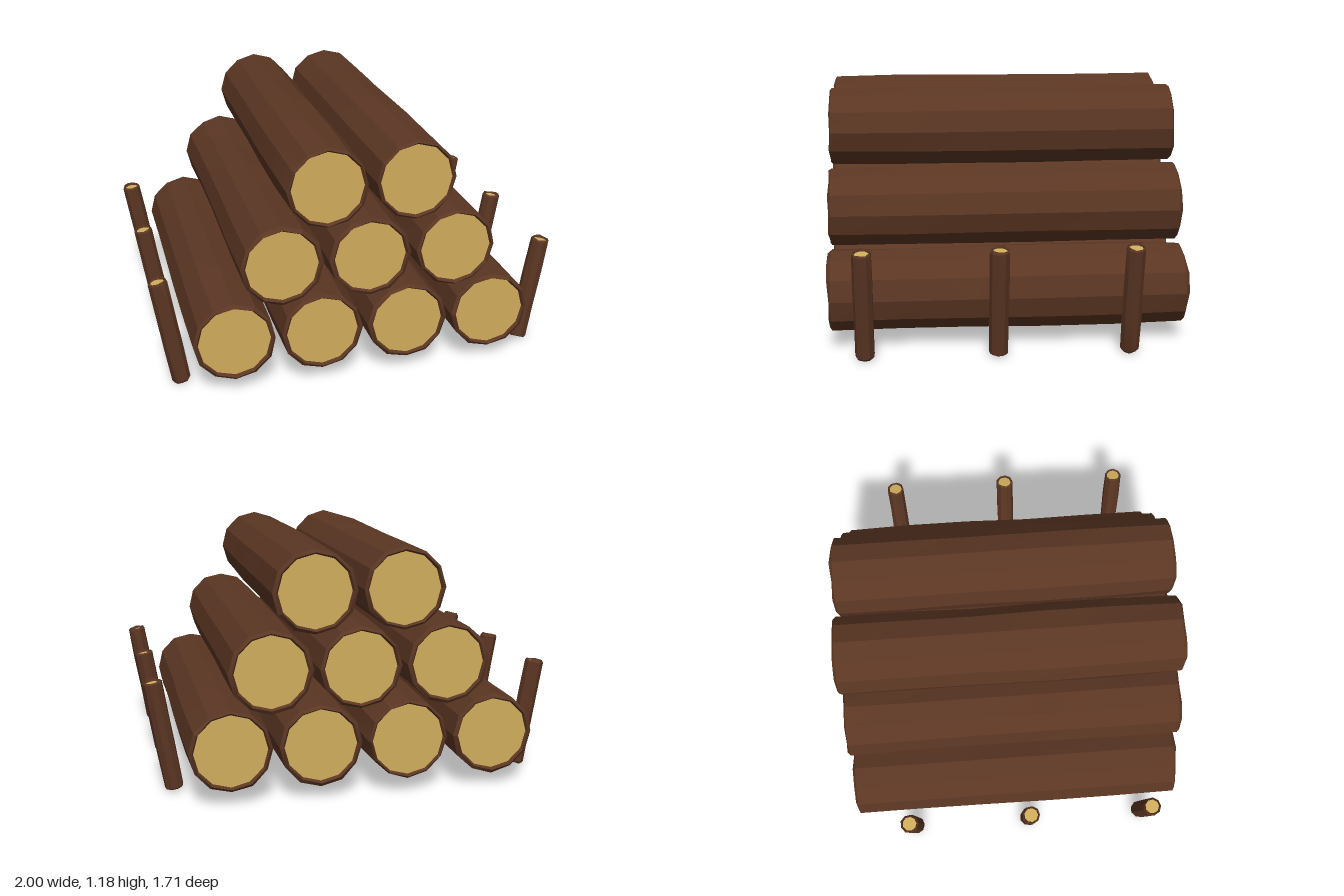
import * as THREE from 'three';
import { toCreasedNormals } from 'three/addons/utils/BufferGeometryUtils.js';

const bark = new THREE.MeshStandardMaterial({ color: 0x5b3623 });
bark.name = 'bark';
const cutWood = new THREE.MeshStandardMaterial({ color: 0xd0ad5c });
cutWood.name = 'cutWood';

// Repeatable noise in -1..1
function noise(a, b, c) {
  const s = Math.sin(a * 12.99 + b * 78.23 + c * 37.72) * 43758.55;
  return (s - Math.floor(s)) * 2 - 1;
}

// Uneven bark tube along y, with a raised rim around each recessed end
function barkGeometry({ radius, inner, length, recess, sides, rings, rough, seed }) {
  const h = length / 2;
  const profile = [[inner, -h + recess], [inner + (radius - inner) * 0.35, -h], [radius * 0.985, -h + recess * 0.8]];
  for (let i = 1; i < rings; i++) profile.push([radius, -h + (length * i) / rings]);
  profile.push([radius * 0.985, h - recess * 0.8], [inner + (radius - inner) * 0.35, h], [inner, h - recess]);
  const geo = new THREE.LatheGeometry(profile.map(([r, y]) => new THREE.Vector2(r, y)), sides);
  const pos = geo.attributes.position;
  const n = profile.length;
  for (let i = 0; i < pos.count; i++) {
    const ring = i % n;
    const side = Math.floor(i / n) % sides;
    if (ring === 0 || ring === n - 1) continue;
    const rim = ring === 1 || ring === n - 2;
    // whole-ring swelling plus a little per-corner wobble
    const k = rim ? 1 : 1 + rough * (0.6 * noise(seed, ring, 50) + 0.5 * noise(seed, ring, side));
    const dy = rim ? recess * 0.4 * noise(seed + 9, ring, side) : 0;
    pos.setXYZ(i, pos.getX(i) * k, pos.getY(i) + dy, pos.getZ(i) * k);
  }
  return toCreasedNormals(geo, 0.42);
}

// Flat round end, facing up (dir 1) or down (dir -1)
function endCap(o, dir, material, name) {
  const geo = new THREE.CircleGeometry(o.inner + 0.001, o.sides);
  geo.rotateX(-dir * Math.PI / 2);
  geo.translate(0, dir * (o.length / 2 - o.recess), 0);
  const mesh = new THREE.Mesh(geo, material);
  mesh.name = name;
  return mesh;
}

function timber(name, o, bottomMaterial) {
  const group = new THREE.Group();
  group.name = name;
  const tube = new THREE.Mesh(barkGeometry(o), bark);
  tube.name = 'barkTube';
  group.add(tube, endCap(o, 1, cutWood, 'endA'), endCap(o, -1, bottomMaterial, 'endB'));
  return group;
}

export function createModel() {
  const model = new THREE.Group();
  model.name = 'logPile';

  // Three stacked rows of logs lying along z
  const rows = [
    { y: 0.265, xs: [-0.63, -0.21, 0.21, 0.63] },
    { y: 0.625, xs: [-0.4, 0.02, 0.44] },
    { y: 0.985, xs: [-0.185, 0.235] },
  ];
  let seed = 1;
  for (const { y, xs } of rows) {
    for (const x of xs) {
      const log = timber('log', {
        radius: 0.197, inner: 0.172, length: 1.7, recess: 0.015,
        sides: 12, rings: 5, rough: 0.035, seed: seed++,
      }, cutWood);
      log.rotation.x = Math.PI / 2;
      log.position.set(x, y, -0.005);
      model.add(log);
    }
  }

  // Leaning stakes, three on each side
  for (const side of [1, -1]) {
    for (const z of [-0.565, 0.055, 0.675]) {
      const stake = timber('stake', {
        radius: 0.046, inner: 0.035, length: 0.54, recess: 0.012,
        sides: 9, rings: 3, rough: 0.04, seed: seed++,
      }, bark);
      stake.rotation.z = -side * 0.166;
      stake.position.set(side * 0.911, 0.28, z);
      model.add(stake);
    }
  }
  return model;
}
